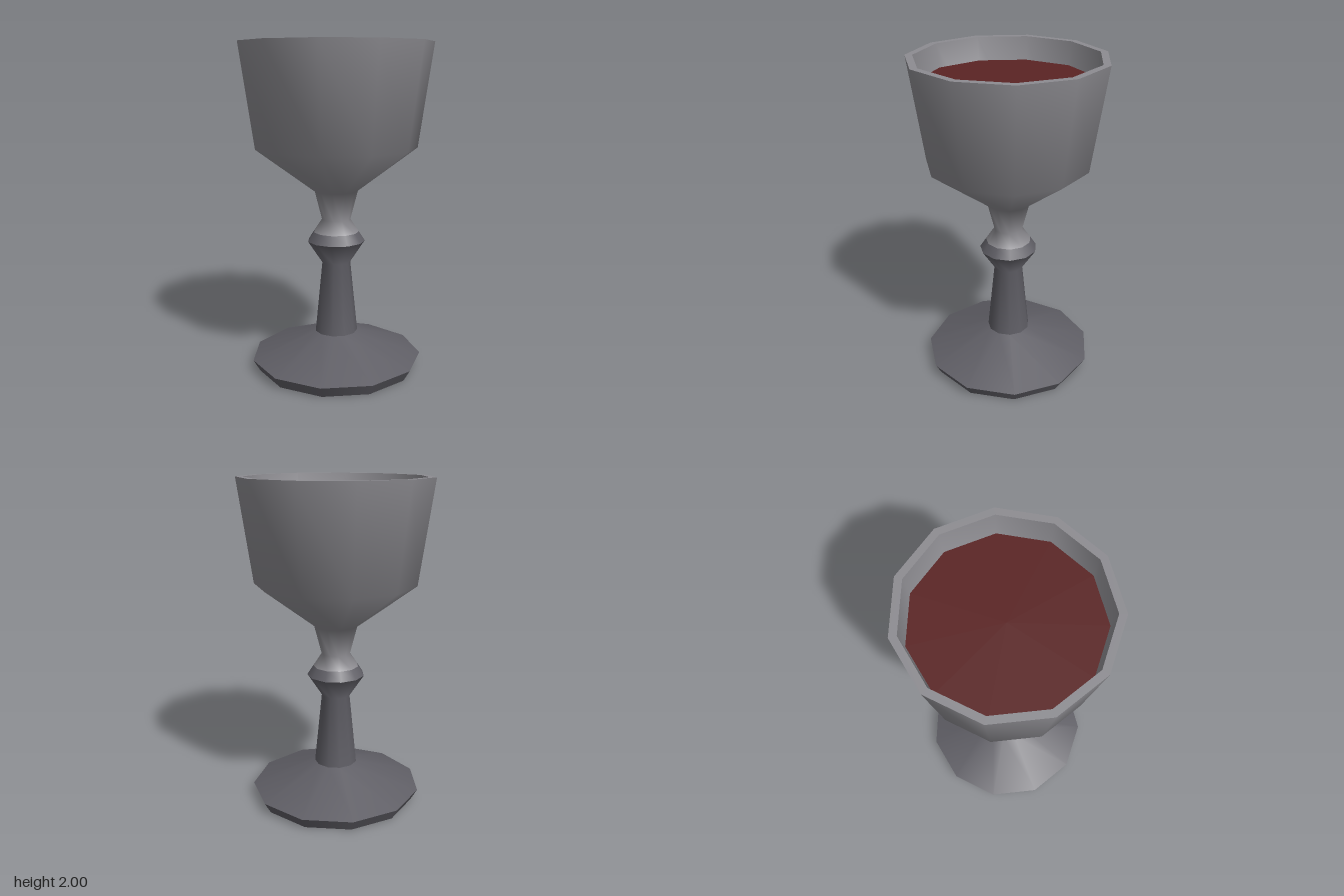
import * as THREE from 'three';

const SIDES = 11;

export function createModel() {
  const paleMetal = new THREE.MeshStandardMaterial({ color: 0x8d8c91 });
  paleMetal.name = 'paleMetal';
  const darkMetal = new THREE.MeshStandardMaterial({ color: 0x5f5e65 });
  darkMetal.name = 'darkMetal';
  const wineRed = new THREE.MeshStandardMaterial({ color: 0x5a2323 });
  wineRed.name = 'wineRed';

  const goblet = new THREE.Group();
  goblet.name = 'goblet';

  // Each part is one smooth turned surface; hard edges fall between parts.
  // Profiles are [radius, height], with one corner of the polygon on +x.
  const turn = (name, material, profile) => {
    const points = profile.map(([r, y]) => new THREE.Vector2(r, y));
    const mesh = new THREE.Mesh(new THREE.LatheGeometry(points, SIDES, Math.PI / 2), material);
    mesh.name = name;
    mesh.position.x = -0.012; // centres the odd-sided outline
    goblet.add(mesh);
  };

  // Foot
  turn('footUnderside', darkMetal, [[0, 0], [0.49, 0]]);
  turn('footEdge', darkMetal, [[0.49, 0], [0.53, 0.07]]);
  turn('footTop', darkMetal, [[0.53, 0.07], [0.133, 0.225]]);

  // Stem and knob
  turn('stem', darkMetal, [[0.133, 0.225], [0.088, 0.67], [0.177, 0.805]]);
  turn('knobTop', darkMetal, [[0.177, 0.805], [0.14, 0.862]]);

  // Neck flowing into the bowl
  turn('bowl', paleMetal, [[0.14, 0.862], [0.088, 0.94], [0.133, 1.115], [0.49, 1.38], [0.578, 2]]);
  turn('rim', paleMetal, [[0.578, 2], [0.535, 2]]);
  turn('bowlInside', paleMetal, [[0.535, 2], [0.448, 1.4], [0, 1.15]]);

  // Drink
  turn('wine', wineRed, [[0.514, 1.86], [0, 1.86]]);

  return goblet;
}
